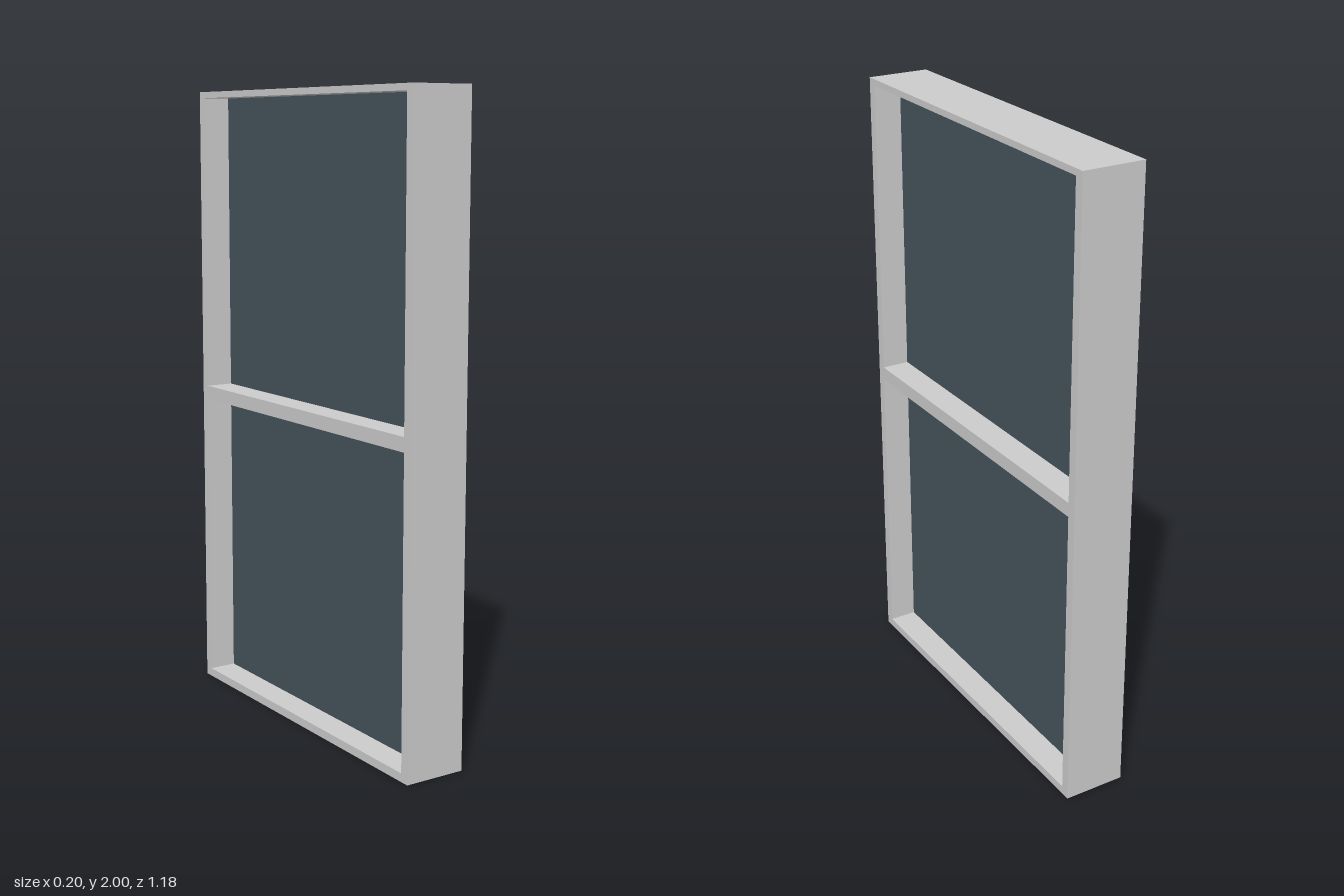
import * as THREE from 'three';

const HALF_WIDTH = 0.59, HEIGHT = 2, DEPTH = 0.2;
const OPENING_HALF = 0.56, PANE_THICKNESS = 0.02;
// Bottom and top of each opening
const OPENINGS = [[0.027, 0.98], [1.025, 1.98]];

function rectangle(target, halfWidth, bottom, top) {
  target.moveTo(-halfWidth, bottom);
  target.lineTo(halfWidth, bottom);
  target.lineTo(halfWidth, top);
  target.lineTo(-halfWidth, top);
  target.closePath();
  return target;
}

export function createModel() {
  const model = new THREE.Group();
  model.name = 'window';
  const frameMaterial = new THREE.MeshStandardMaterial({ color: 0xcccccc });
  const glassMaterial = new THREE.MeshStandardMaterial({ color: 0x44535b });

  // Deep frame with a middle rail, turned so the openings face sideways
  const outline = rectangle(new THREE.Shape(), HALF_WIDTH, 0, HEIGHT);
  for (const [bottom, top] of OPENINGS) {
    outline.holes.push(rectangle(new THREE.Path(), OPENING_HALF, bottom, top));
  }
  const frameGeometry = new THREE.ExtrudeGeometry(outline, { depth: DEPTH, bevelEnabled: false });
  frameGeometry.translate(0, 0, -DEPTH / 2).rotateY(Math.PI / 2);
  const frame = new THREE.Mesh(frameGeometry, frameMaterial);
  frame.name = 'frame';
  model.add(frame);

  // One thin pane in the middle of each opening
  OPENINGS.forEach(([bottom, top], i) => {
    const pane = new THREE.Mesh(
      new THREE.BoxGeometry(PANE_THICKNESS, top - bottom, OPENING_HALF * 2),
      glassMaterial
    );
    pane.position.y = (bottom + top) / 2;
    pane.name = i === 0 ? 'lowerPane' : 'upperPane';
    model.add(pane);
  });

  return model;
}
